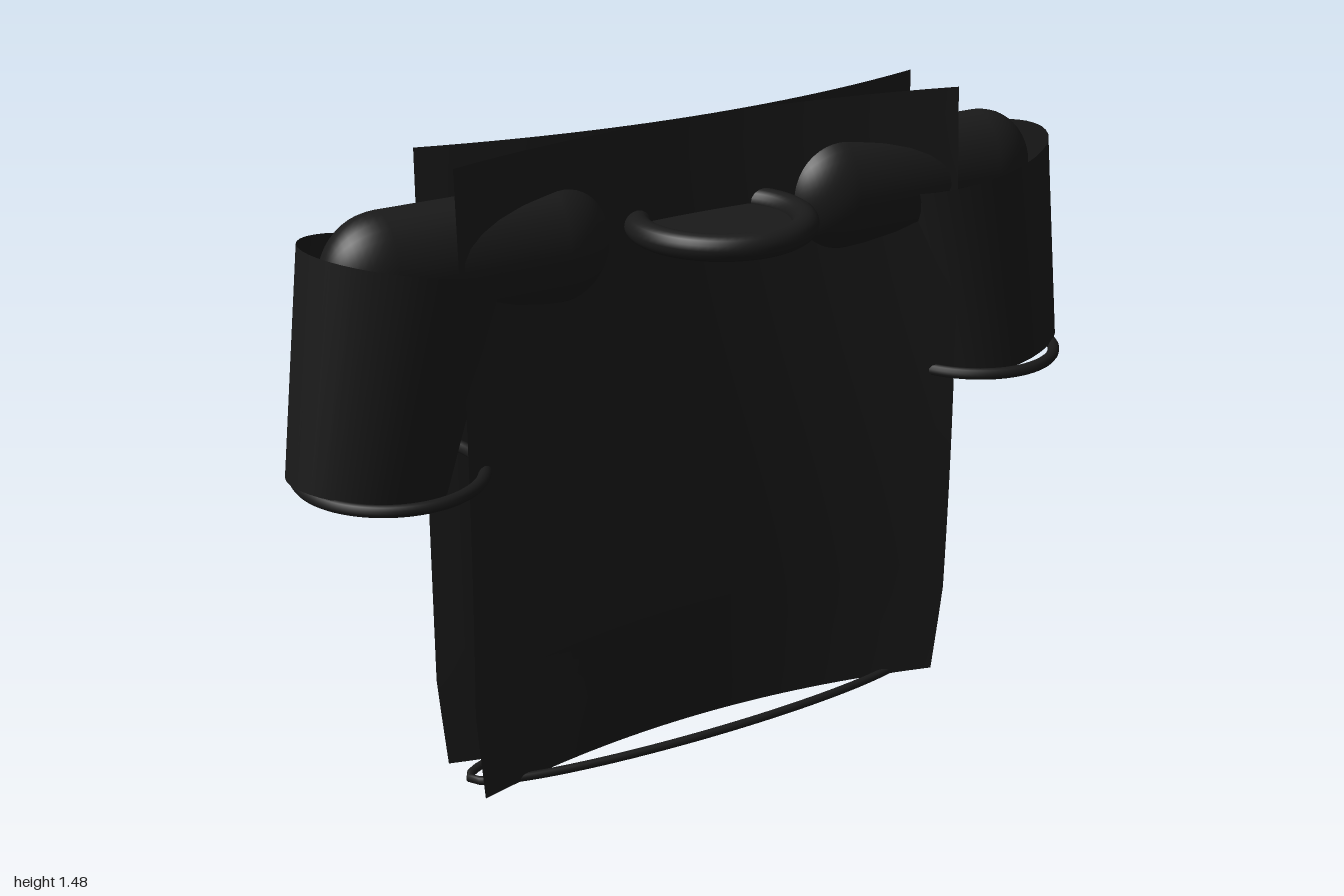
import * as THREE from 'three';

const cloth = new THREE.MeshStandardMaterial({ color: 0x1a1a1a, side: THREE.DoubleSide });
const CENTER_Z = -0.048;

function part(name, geometry, parent) {
  const mesh = new THREE.Mesh(geometry, cloth);
  mesh.name = name;
  parent.add(mesh);
  return mesh;
}

// Closed horizontal tube around an ellipse
function ellipseRing(rx, rz, tube) {
  const points = [];
  for (let i = 0; i < 48; i++) {
    const a = (i / 48) * Math.PI * 2;
    points.push(new THREE.Vector3(rx * Math.cos(a), 0, rz * Math.sin(a)));
  }
  return new THREE.TubeGeometry(new THREE.CatmullRomCurve3(points, true), 96, tube, 10, true);
}

// Body sheet: bowed towards the middle, tapered at the bottom, optional chest bulge
function bodySheet(side, bulge) {
  const height = 1.475, rows = 20;
  const geo = new THREE.PlaneGeometry(1.28, height, 32, rows);
  const pos = geo.attributes.position;
  for (let i = 0; i < pos.count; i++) {
    const x = pos.getX(i);
    const y = pos.getY(i) + height / 2 + 0.005;
    const taper = y < 0.22 ? 1 - 0.035 * (1 - y / 0.22) : 1;
    const bow = 0.003 + 0.091 * (x / 0.64) ** 2;
    const z = CENTER_Z + side * (bow + bulge * Math.sin((Math.PI * y) / height));
    pos.setXYZ(i, x * taper, y, z);
  }
  geo.computeVertexNormals();
  return geo;
}

export function createModel() {
  const shirt = new THREE.Group();
  shirt.name = 'shirt';

  // Body
  part('frontPanel', bodySheet(1, 0.022), shirt);
  part('backPanel', bodySheet(-1, 0), shirt);
  part('hem', ellipseRing(0.61, 0.105, 0.01), shirt).position.set(0, 0.01, CENTER_Z);

  // Neck ring and the disc inside it
  const collar = part('collar', new THREE.TorusGeometry(0.185, 0.03, 16, 64), shirt);
  collar.rotation.x = Math.PI / 2;
  collar.position.set(0, 1.265, 0.053);
  const neck = part('neckOpening', new THREE.CircleGeometry(0.155, 48), shirt);
  neck.rotation.x = -Math.PI / 2;
  neck.position.set(0, 1.265, 0.06);

  for (const side of [1, -1]) {
    const label = side > 0 ? 'left' : 'right';

    // Shoulder pad
    const pad = part(label + 'Shoulder', new THREE.CapsuleGeometry(0.137, 0.396, 12, 32), shirt);
    pad.rotation.z = Math.PI / 2;
    pad.scale.z = 0.73;
    pad.position.set(side * 0.57, 1.25, CENTER_Z);

    // Open sleeve, leaning outwards towards the cuff
    const sleeve = part(label + 'Sleeve', new THREE.CylinderGeometry(0.227, 0.18, 0.505, 40, 1, true), shirt);
    sleeve.scale.z = 0.79;
    sleeve.rotation.z = side * 0.21;
    sleeve.position.set(side * 0.7725, 1.036, CENTER_Z);

    // Cuff
    const cuff = part(label + 'Cuff', ellipseRing(0.2, 0.21, 0.014), shirt);
    cuff.position.set(side * 0.77, 0.803, CENTER_Z);
  }
  return shirt;
}
